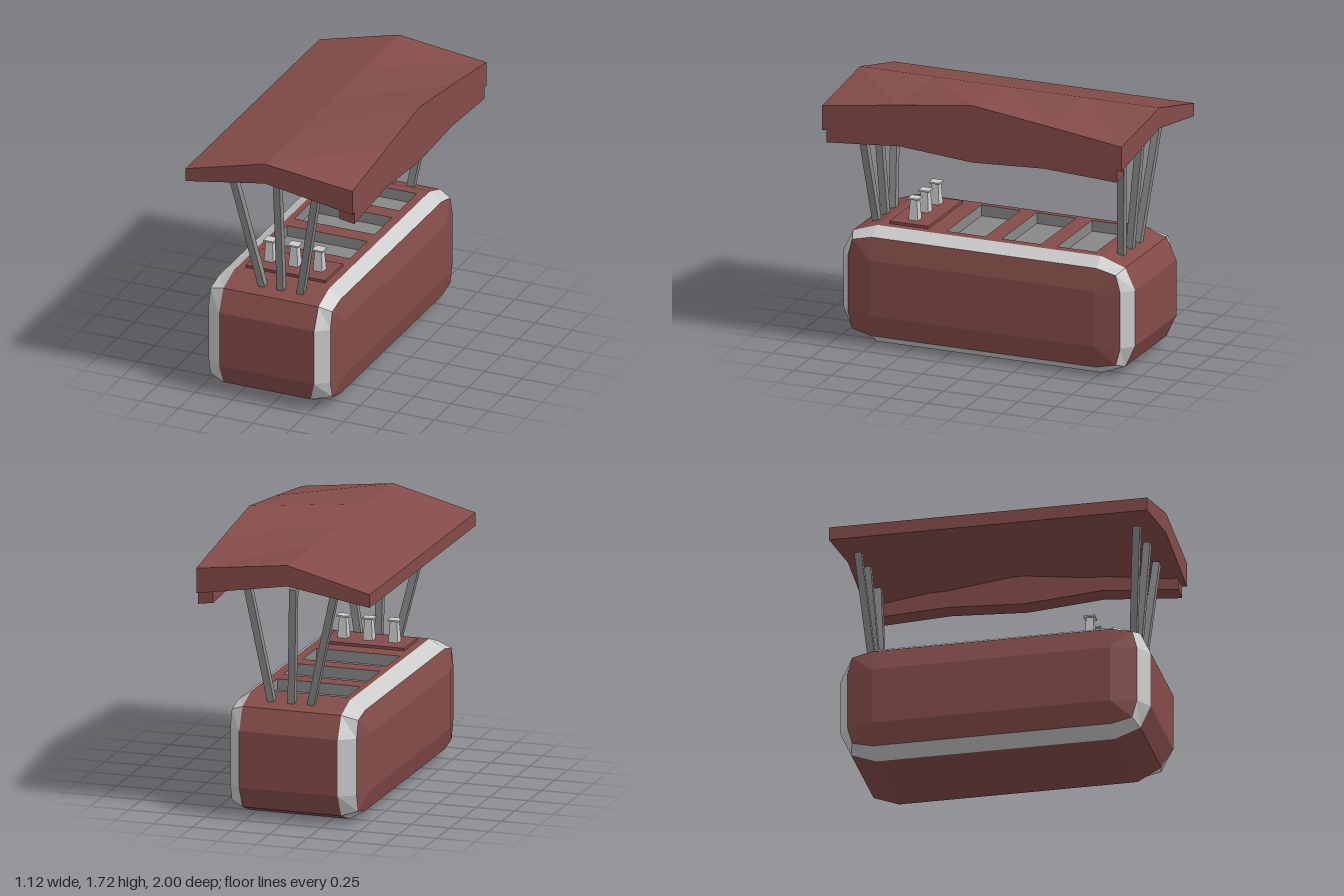
import * as THREE from 'three';

const mat = (color, side = THREE.FrontSide) =>
  new THREE.MeshStandardMaterial({ color, side, flatShading: true });
const red = mat(0x844c49), grey = mat(0xcccccc), dark = mat(0x888888);
const pitGrey = mat(0x888888, THREE.DoubleSide);

function add(parent, name, geometry, material) {
  const mesh = new THREE.Mesh(geometry, material);
  mesh.name = name;
  parent.add(mesh);
  return mesh;
}

// Faceted skin through rings of points; each ring runs counter-clockwise seen from the last one.
function loft(rings, { capStart = false, capEnd = false, skip = -1 } = {}) {
  const pos = [];
  const tri = (a, b, c) => {
    if (new THREE.Triangle(a, b, c).getArea() < 1e-7) return;
    for (const p of [a, b, c]) pos.push(p.x, p.y, p.z);
  };
  const n = rings[0].length;
  for (let s = 0; s < rings.length - 1; s++) {
    const a = rings[s], b = rings[s + 1];
    for (let i = 0; i < n; i++) {
      if (i === skip) continue;
      const j = (i + 1) % n;
      tri(a[i], a[j], b[j]);
      tri(a[i], b[j], b[i]);
    }
  }
  const first = rings[0], last = rings[rings.length - 1];
  for (let i = 1; i < n - 1; i++) {
    if (capStart) tri(first[0], first[i + 1], first[i]);
    if (capEnd) tri(last[0], last[i], last[i + 1]);
  }
  const g = new THREE.BufferGeometry();
  g.setAttribute('position', new THREE.Float32BufferAttribute(pos, 3));
  g.computeVertexNormals();
  return g;
}

// Square bar between two points
function bar(parent, name, from, to, width) {
  const dir = to.clone().sub(from);
  const m = add(parent, name, new THREE.BoxGeometry(width, dir.length(), width), dark);
  m.position.copy(from).add(to).multiplyScalar(0.5);
  m.quaternion.setFromUnitVectors(new THREE.Vector3(0, 1, 0), dir.normalize());
}

function buildBody(root) {
  const body = new THREE.Group();
  body.name = 'body';
  root.add(body);

  // Half outlines [z, y], mirrored to the back
  const full = [[0.75, 0.755], [0.91, 0.7], [0.975, 0.56], [0.975, 0.2], [0.91, 0.06], [0.75, 0]];
  const inset = [[0.75, 0.7], [0.88, 0.67], [0.91, 0.56], [0.91, 0.2], [0.88, 0.09], [0.75, 0.06]];
  const flat = [0.56, 0.56, 0.56, 0.2, 0.2, 0.2].map((y) => [0.75, y]);
  const ring = (x, half) =>
    [...half, ...half.map(([z, y]) => [-z, y]).reverse()].map(([z, y]) => new THREE.Vector3(x, y, z));

  const r = [ring(-0.49, flat), ring(-0.45, inset), ring(-0.35, full),
    ring(0.29, full), ring(0.37, inset), ring(0.405, flat)];
  r[3][4].x = 0.24;
  add(body, 'rightPanel', loft([r[0], r[1]], { capStart: true }), red);
  add(body, 'rightBevel', loft([r[1], r[2]]), grey);
  add(body, 'centreBand', loft([r[2], r[3]], { skip: 11 }), red);
  add(body, 'leftBevel', loft([r[3], r[4]]), grey);
  add(body, 'leftPanel', loft([r[4], r[5]], { capEnd: true }), red);

  // Deck with three rectangular wells
  const rect = (Type, x0, x1, z0, z1) => new Type(
    [[x0, -z1], [x1, -z1], [x1, -z0], [x0, -z0]].map((p) => new THREE.Vector2(...p)));
  const deck = rect(THREE.Shape, -0.35, 0.29, -0.75, 0.75);
  const depth = 0.07;
  for (const z of [0.18, -0.19, -0.56]) {
    deck.holes.push(rect(THREE.Path, -0.31, 0.23, z - 0.13, z + 0.13));
    const well = new THREE.BoxGeometry(0.54, depth, 0.26);
    const index = Array.from(well.index.array);
    index.splice(12, 6); // open top
    well.setIndex(index);
    add(body, 'seatWell', well, pitGrey).position.set(-0.04, 0.755 - depth / 2, z);
  }
  add(body, 'deck', new THREE.ShapeGeometry(deck).rotateX(-Math.PI / 2), red)
    .position.y = 0.755;
}

function buildControls(root) {
  const controls = new THREE.Group();
  controls.name = 'controls';
  root.add(controls);
  add(controls, 'controlPlate', new THREE.BoxGeometry(0.535, 0.02, 0.26), red)
    .position.set(-0.03, 0.762, 0.56);
  for (const x of [-0.19, -0.025, 0.14]) {
    // Tapered square stem with a thin cap
    const stem = new THREE.CylinderGeometry(0.022 * Math.SQRT2, 0.032 * Math.SQRT2, 0.14, 4)
      .rotateY(Math.PI / 4);
    add(controls, 'leverStem', stem, grey).position.set(x, 0.837, 0.56);
    add(controls, 'leverCap', new THREE.BoxGeometry(0.07, 0.01, 0.07), grey)
      .position.set(x, 0.91, 0.56);
  }
}

function buildPosts(root) {
  const posts = new THREE.Group();
  posts.name = 'roofPosts';
  root.add(posts);
  for (const side of [1, -1]) {
    const midTop = side > 0 ? 0 : -0.03;
    for (const [x0, x1, top] of [[-0.125, -0.295, 1.45], [0, midTop, 1.47], [0.132, 0.265, 1.455]]) {
      bar(posts, side > 0 ? 'frontPost' : 'backPost',
        new THREE.Vector3(x0, 0.725, side * 0.818),
        new THREE.Vector3(x1, top, side * 0.876), 0.045);
    }
  }
}

function buildRoof(root) {
  const roof = new THREE.Group();
  roof.name = 'roof';
  root.add(roof);
  const V = (x, y, z) => new THREE.Vector3(x, y, z);

  // Canopy: the left edge rises towards the middle of its length
  const edge = [[-1, 1.58], [-0.5, 1.65], [0, 1.715], [0.5, 1.65], [1, 1.58]];
  const canopy = edge.map(([z, y]) => [
    V(-0.03, 1.65, z), V(-0.565, 1.512, z), V(-0.565, 1.428, z),
    V(-0.03, 1.517, z), V(0.56, y - 0.16, z), V(0.56, y, z)]);
  add(roof, 'canopy', loft(canopy, { capStart: true, capEnd: true }), red);

  // Valance hanging under the left edge
  const hem = [[-0.97, 1.345], [-0.48, 1.37], [0, 1.345], [0.48, 1.385], [0.97, 1.345]];
  const valance = hem.map(([z, y], i) => {
    const top = edge[i][1] - 0.12;
    return [V(0.46, top, z), V(0.46, y + 0.015, z), V(0.559, y, z), V(0.559, top, z)];
  });
  add(roof, 'valance', loft(valance, { capStart: true, capEnd: true }), red);
}

export function createModel() {
  const root = new THREE.Group();
  root.name = 'canopyCar';
  buildBody(root);
  buildControls(root);
  buildPosts(root);
  buildRoof(root);
  return root;
}
